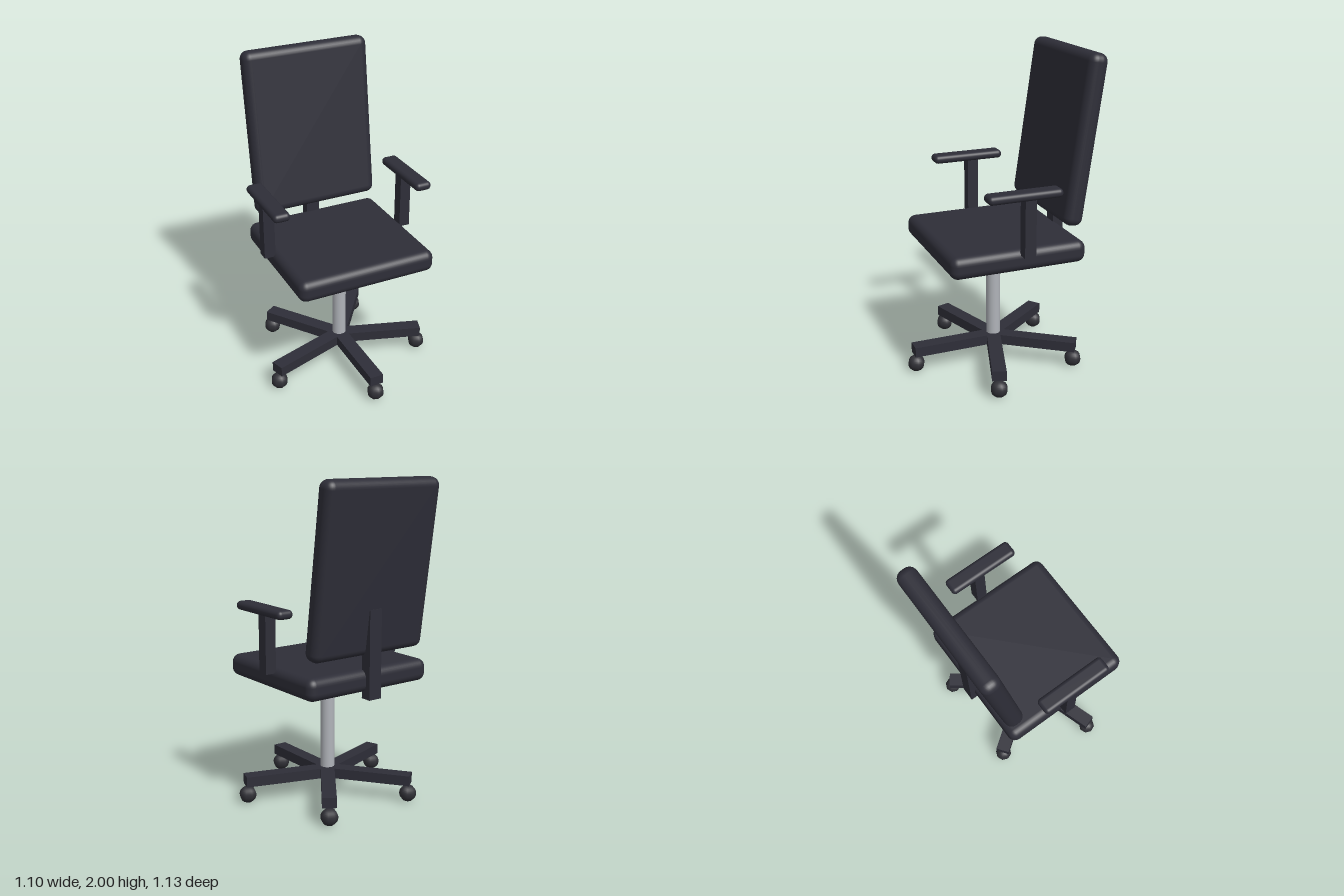
import * as THREE from 'three';
import { RoundedBoxGeometry } from 'three/addons/geometries/RoundedBoxGeometry.js';

export function createModel() {
  const chair = new THREE.Group();
  chair.name = 'officeChair';

  const material = (name, color) => {
    const m = new THREE.MeshStandardMaterial({ color });
    m.name = name;
    return m;
  };
  const upholstery = material('charcoalUpholstery', 0x2e2e38);
  const metal = material('silverMetal', 0xb0b3b9);
  const rubber = material('darkRubber', 0x303036);

  const add = (name, geometry, mat, x, y, z, parent = chair) => {
    const mesh = new THREE.Mesh(geometry, mat);
    mesh.name = name;
    mesh.position.set(x, y, z);
    parent.add(mesh);
    return mesh;
  };
  const box = (w, h, d) => new THREE.BoxGeometry(w, h, d);
  const cushion = (w, h, d, r) => new RoundedBoxGeometry(w, h, d, 4, r);
  const midZ = -0.007;

  // Seat and tilted backrest
  add('seat', cushion(0.89, 0.137, 0.855, 0.05), upholstery, 0, 0.827, midZ);
  const back = add('backrest', cushion(0.82, 1.03, 0.12, 0.05), upholstery, 0, 1.488, -0.435);
  back.rotation.x = -0.14;

  // Upright joining the backrest to the seat
  add('backSupport', box(0.087, 0.535, 0.07), upholstery, 0, 0.988, -0.432);

  // Armrests
  for (const [side, s] of [['left', 1], ['right', -1]]) {
    add(side + 'ArmPost', box(0.07, 0.36, 0.07), upholstery, s * 0.464, 1.045, -0.038);
    add(side + 'ArmPad', cushion(0.105, 0.053, 0.462, 0.025), upholstery, s * 0.464, 1.238, midZ);
  }

  // Gas lift column
  add('column', new THREE.CylinderGeometry(0.044, 0.044, 0.59, 20), metal, 0, 0.477, midZ);

  // Five-arm base with ball casters, one arm facing the front
  const base = new THREE.Group();
  base.name = 'base';
  base.position.z = midZ;
  chair.add(base);
  const armLength = 0.537;
  const armGeometry = box(0.087, 0.064, armLength);
  const casterGeometry = new THREE.SphereGeometry(0.053, 8, 16);
  for (let i = 0; i < 5; i++) {
    const angle = (i * Math.PI * 2) / 5;
    const sx = Math.sin(angle), cz = Math.cos(angle);
    const arm = add('baseArm', armGeometry, upholstery, sx * armLength / 2, 0.147, cz * armLength / 2, base);
    arm.rotation.y = angle;
    add('caster', casterGeometry, rubber, sx * 0.522, 0.055, cz * 0.522, base);
  }

  return chair;
}
